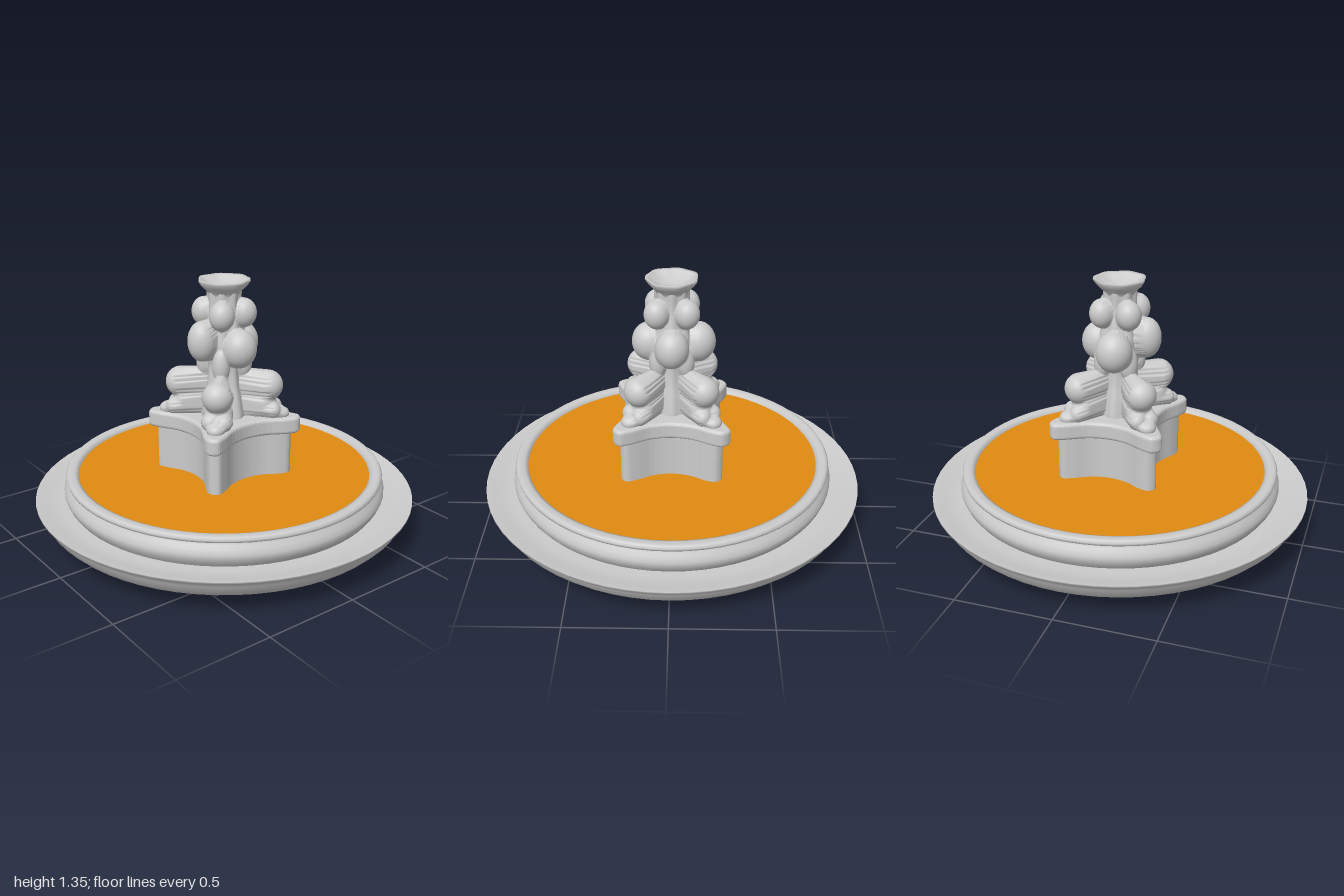
import * as THREE from 'three';

const grey = new THREE.MeshStandardMaterial({ color: 0xcccccc, side: THREE.DoubleSide });
const water = new THREE.MeshStandardMaterial({ color: 0xe08a10 });

function add(group, name, geometry, material = grey) {
  const mesh = new THREE.Mesh(geometry, material);
  mesh.name = name;
  group.add(mesh);
  return mesh;
}

const lathe = (points, segments = 64) =>
  new THREE.LatheGeometry(points.map(([r, y]) => new THREE.Vector2(r, y)), segments);

// Four-armed plan with rounded tips on the diagonals and hollow sides
function starShape(scale) {
  const arm = [[0.205, 0], [0.222, 0.1], [0.275, 0.2], [0.288, 0.255], [0.255, 0.292],
    [0.2, 0.275], [0.1, 0.222]];
  const points = [];
  for (let q = 0; q < 4; q++) {
    for (const [x, y] of arm) {
      points.push(new THREE.Vector2(x, y).multiplyScalar(scale)
        .rotateAround(new THREE.Vector2(), q * Math.PI / 2));
    }
  }
  const curve = new THREE.CatmullRomCurve3(points.map(p => new THREE.Vector3(p.x, p.y, 0)), true);
  return new THREE.Shape(curve.getPoints(112).slice(0, -1).map(p => new THREE.Vector2(p.x, p.y)));
}

function starBlock(scale, y0, y1, bevel) {
  const geometry = new THREE.ExtrudeGeometry(starShape(scale), {
    depth: y1 - y0 - 2 * bevel, bevelEnabled: bevel > 0, bevelSize: bevel,
    bevelThickness: bevel, bevelOffset: -bevel, bevelSegments: 4,
  });
  return geometry.rotateX(-Math.PI / 2).translate(0, y0 + bevel, 0);
}

// Ellipsoids of the carving: x, y, z, horizontal radius, vertical radius
function carvingBlobs() {
  const blobs = [
    [-0.13, 1.0, 0.01, 0.092, 0.105], [0.115, 1.01, -0.01, 0.088, 0.1],
    [0.005, 1.05, 0.14, 0.075, 0.105], [0.0, 1.01, -0.115, 0.085, 0.1],
  ];
  for (const sx of [-1, 1]) {
    for (const sz of [-1, 1]) {
      blobs.push(
        [sx * 0.16, 0.8, sz * 0.16, 0.08, 0.08],     // head
        [sx * 0.14, 0.7, sz * 0.14, 0.075, 0.08],    // body
        [sx * 0.205, 0.675, sz * 0.155, 0.045, 0.045], // limbs
        [sx * 0.155, 0.675, sz * 0.205, 0.045, 0.045],
        [sx * 0.21, 0.65, sz * 0.21, 0.045, 0.035],
        [sx * 0.075, 1.18, sz * 0.07, 0.064, 0.075], // upper cluster
        [sx * 0.07, 0.92, sz * 0.07, 0.045, 0.09],   // folds below the bulbs
      );
    }
  }
  return blobs;
}

// Rings around the axis, each point placed on the outermost surface of the merged blobs
function carvingGeometry(y0, y1, rows, columns) {
  const blobs = carvingBlobs();
  const trunk = new THREE.SplineCurve([[0.13, 0.62], [0.115, 0.7], [0.095, 0.8], [0.09, 0.9],
    [0.11, 1.0], [0.1, 1.1], [0.085, 1.2], [0.085, 1.29]].map(p => new THREE.Vector2(...p)));
  const k = 0.012;
  const positions = [], index = [];
  for (let i = 0; i <= rows; i++) {
    const t = i / rows, y = y0 + (y1 - y0) * t;
    const core = trunk.getPoint(t).x;
    for (let j = 0; j < columns; j++) {
      const a = j / columns * Math.PI * 2, c = Math.cos(a), s = Math.sin(a);
      const reaches = [core * (1 + 0.05 * Math.cos(8 * a))];
      for (const [bx, by, bz, r, h] of blobs) {
        const slice = 1 - ((y - by) / h) ** 2;
        if (slice <= 0) continue;
        const along = bx * c + bz * s, across = bx * s - bz * c;
        const inside = r * r * slice - across * across;
        if (inside > 0 && along > 0) reaches.push(along + Math.sqrt(inside));
      }
      const top = Math.max(...reaches);
      const sum = reaches.reduce((m, r) => m + Math.exp((r - top) / k), 0);
      const radius = top + 0.5 * k * Math.log(sum);
      positions.push(c * radius, y, s * radius);
      if (i < rows) {
        const n = (j + 1) % columns, p = i * columns;
        index.push(p + j, p + columns + j, p + n, p + n, p + columns + j, p + columns + n);
      }
    }
  }
  const geometry = new THREE.BufferGeometry();
  geometry.setAttribute('position', new THREE.Float32BufferAttribute(positions, 3));
  geometry.setIndex(index);
  geometry.computeVertexNormals();
  return geometry;
}

// Flared cup with an uneven scalloped lip
function cupGeometry() {
  const geometry = lathe([[0.075, 1.24], [0.08, 1.27], [0.088, 1.29], [0.115, 1.315], [0.13, 1.338],
    [0.128, 1.35], [0.115, 1.345], [0.09, 1.325], [0.05, 1.31], [0, 1.305]], 48);
  const p = geometry.attributes.position;
  for (let i = 0; i < p.count; i++) {
    const a = Math.atan2(p.getZ(i), p.getX(i));
    const flare = THREE.MathUtils.smoothstep(p.getY(i), 1.29, 1.34);
    const f = 1 + flare * (0.035 * Math.cos(7 * a) + 0.02 * Math.sin(3 * a));
    p.setXYZ(i, p.getX(i) * f, p.getY(i), p.getZ(i) * f);
  }
  geometry.computeVertexNormals();
  return geometry;
}

export function createModel() {
  const model = new THREE.Group();
  model.name = 'fountain';

  // Lower dish: underside, lip and shallow ledge
  add(model, 'dishUnderside', lathe([[0, 0], [0.45, 0.006], [0.62, 0.014], [0.75, 0.027], [0.84, 0.06],
    [0.92, 0.1], [0.955, 0.135], [0.97, 0.17], [0.985, 0.195], [1, 0.205], [1, 0.213]]));
  add(model, 'dishLedge', lathe([[1, 0.213], [0.96, 0.207], [0.92, 0.195], [0.87, 0.19], [0.8, 0.19]]));

  // Basin wall with a bulging side and a rolled rim
  add(model, 'basinWall', lathe([[0.82, 0.19], [0.838, 0.215], [0.848, 0.24], [0.848, 0.26],
    [0.838, 0.285], [0.825, 0.303], [0.822, 0.312]]));
  add(model, 'basinRim', lathe([[0.822, 0.312], [0.833, 0.318], [0.836, 0.33], [0.828, 0.342],
    [0.815, 0.345], [0.79, 0.343], [0.772, 0.335], [0.768, 0.31]]));

  const surface = new THREE.CircleGeometry(0.77, 64).rotateX(-Math.PI / 2).translate(0, 0.325, 0);
  add(model, 'water', surface, water);

  // Four-armed pedestal and its cap
  add(model, 'pedestal', starBlock(0.9, 0.3, 0.56, 0));
  add(model, 'pedestalCap', starBlock(1.02, 0.55, 0.64, 0.018));

  // Carved figures and clusters around the central stem
  add(model, 'carvedColumn', carvingGeometry(0.62, 1.29, 120, 144));
  add(model, 'cup', cupGeometry());
  return model;
}
